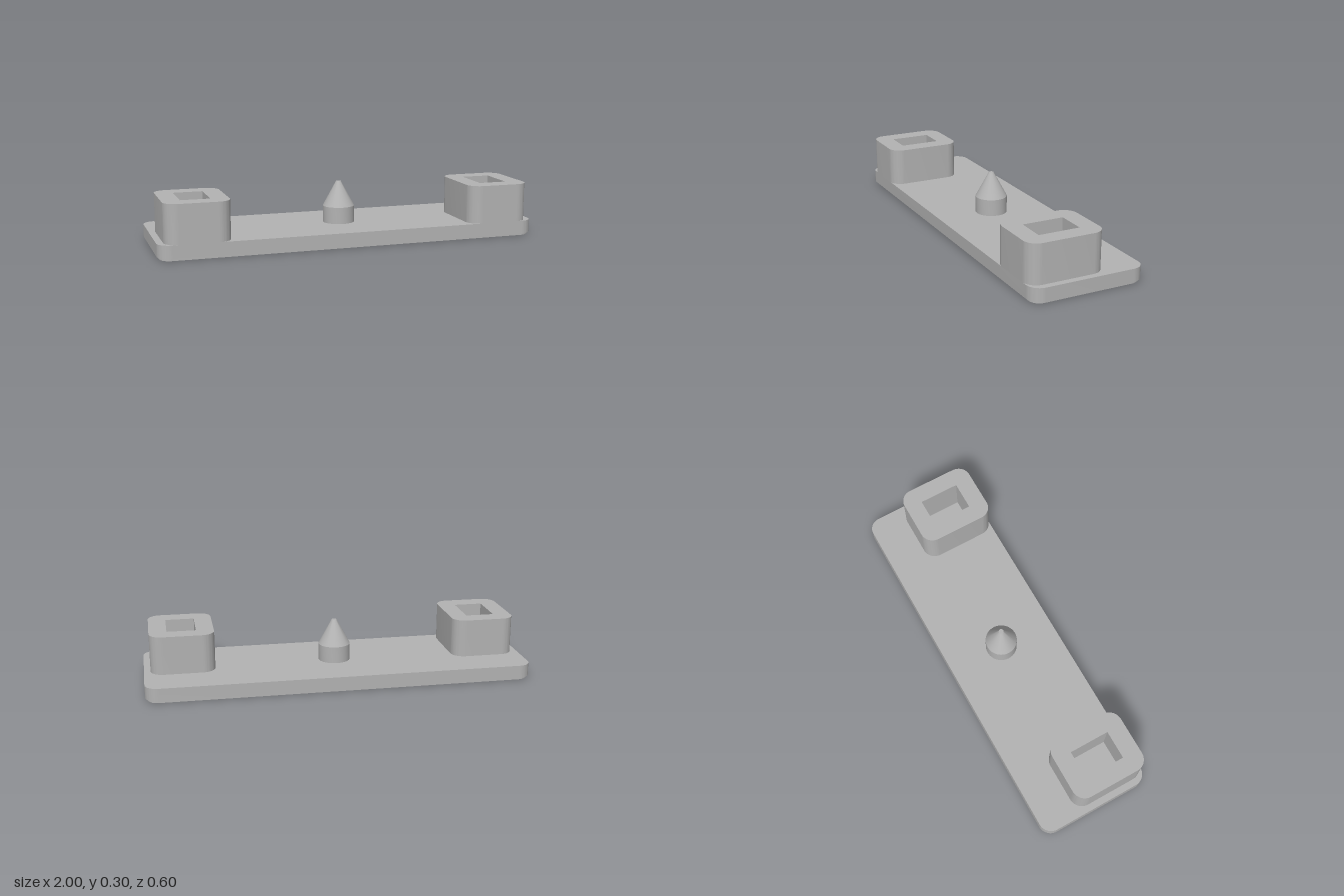
import * as THREE from 'three';
import { toCreasedNormals } from 'three/addons/utils/BufferGeometryUtils.js';

const CREASE = 0.5;

// Rounded rectangle centred on the origin
function roundedRect(width, depth, r) {
  const x = width / 2, y = depth / 2;
  const s = new THREE.Shape();
  s.moveTo(-x + r, -y);
  s.lineTo(x - r, -y);
  s.absarc(x - r, -y + r, r, -Math.PI / 2, 0);
  s.lineTo(x, y - r);
  s.absarc(x - r, y - r, r, 0, Math.PI / 2);
  s.lineTo(-x + r, y);
  s.absarc(-x + r, y - r, r, Math.PI / 2, Math.PI);
  s.lineTo(-x, -y + r);
  s.absarc(-x + r, -y + r, r, Math.PI, Math.PI * 1.5);
  return s;
}

// Upright slab standing on y; shape y points to -z
function slab(name, shape, y, height, material) {
  const geo = new THREE.ExtrudeGeometry(shape, { depth: height, bevelEnabled: false, curveSegments: 12 });
  geo.rotateX(-Math.PI / 2);
  const mesh = new THREE.Mesh(toCreasedNormals(geo, CREASE), material);
  mesh.name = name;
  mesh.position.y = y;
  return mesh;
}

export function createModel() {
  const model = new THREE.Group();
  model.name = 'mountingPlate';
  const grey = new THREE.MeshStandardMaterial({ color: 0xb3b3b3 });
  grey.name = 'grey';

  // Base plate with a finely stepped lower edge
  const base = new THREE.Group();
  base.name = 'basePlate';
  const steps = 4, edge = 0.0133;
  for (let i = 0; i < steps; i++) {
    const inset = edge * (1 - i / steps);
    base.add(slab('edgeStep', roundedRect(2 - 2 * inset, 0.6 - 2 * inset, 0.067 - inset),
      edge * i / steps, edge / steps, grey));
  }
  base.add(slab('plate', roundedRect(2, 0.6, 0.067), edge, 0.08 - edge, grey));
  model.add(base);

  // Two sockets with rectangular holes, flush with the front edge
  for (const [side, name] of [[1, 'leftSocket'], [-1, 'rightSocket']]) {
    const shape = roundedRect(0.333, 0.4, 0.067);
    const hole = new THREE.Path();
    hole.moveTo(-0.075, -0.105);
    hole.lineTo(-0.075, 0.108);
    hole.lineTo(0.075, 0.108);
    hole.lineTo(0.075, -0.105);
    hole.closePath();
    shape.holes.push(hole);
    const socket = slab(name, shape, 0.08, 0.2, grey);
    socket.position.x = side * 0.8;
    socket.position.z = 0.1;
    model.add(socket);
  }

  // Centre pin: cylinder with a blunt conical tip
  const profile = [[0.083, 0.08], [0.083, 0.167], [0.013, 0.297], [0, 0.297]]
    .map(([r, y]) => new THREE.Vector2(r, y));
  const pin = new THREE.Mesh(toCreasedNormals(new THREE.LatheGeometry(profile, 48), 0.4), grey);
  pin.name = 'centrePin';
  model.add(pin);

  return model;
}
